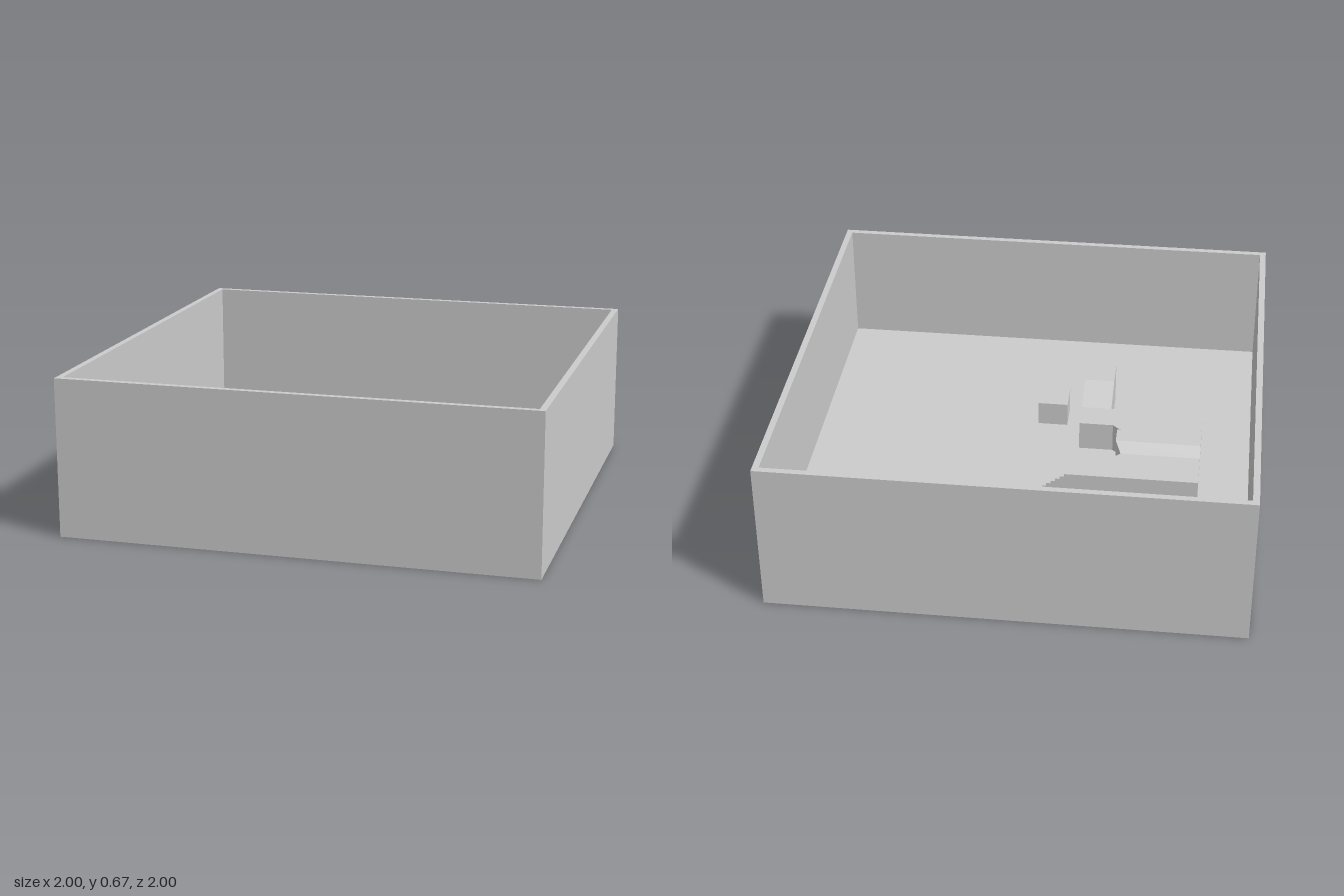
import * as THREE from 'three';
import { ConvexGeometry } from 'three/addons/geometries/ConvexGeometry.js';

const FLOOR = 0.133, DECK = 0.267, TOP = 0.67, INNER = 0.973;

export function createModel() {
  const group = new THREE.Group();
  const material = new THREE.MeshStandardMaterial({ color: 0xcccccc, flatShading: true });

  const add = (name, geometry) => {
    const mesh = new THREE.Mesh(geometry, material);
    mesh.name = name;
    group.add(mesh);
    return mesh;
  };
  const shapeOf = (points) => new THREE.Shape(points.map(([x, y]) => new THREE.Vector2(x, y)));
  const extrude = (shape, depth) => new THREE.ExtrudeGeometry(shape, { depth, bevelEnabled: false });
  // Plan outlines are drawn in (x, -z) and raised from y0 to y1
  const raisePlan = (shape, y0, y1) => extrude(shape, y1 - y0).rotateX(-Math.PI / 2).translate(0, y0, 0);
  const square = (r) => [[-r, -r], [r, -r], [r, r], [-r, r]];

  // Thick floor slab and the thin enclosing walls
  add('floor', new THREE.BoxGeometry(2, FLOOR, 2).translate(0, FLOOR / 2, 0));
  const ring = shapeOf(square(1));
  ring.holes.push(new THREE.Path(square(INNER).reverse().map(([x, y]) => new THREE.Vector2(x, y))));
  add('walls', raisePlan(ring, FLOOR, TOP));

  // Solid C-shaped platform, given as x, z
  const outline = [
    [-0.755, -0.325], [-0.2, -0.325], [-0.2, -0.192], [-0.36, -0.192], [-0.41, -0.145],
    [-0.385, -0.105], [-0.385, -0.02], [-0.41, 0.025], [-0.36, 0.07], [-0.21, 0.07],
    [-0.21, 0.2], [-0.755, 0.2],
  ];
  add('platform', raisePlan(shapeOf(outline.map(([x, z]) => [x, -z])), FLOOR, DECK));

  // Low hump with sloping sides across the platform
  const crest = DECK + 0.04;
  const hump = [];
  for (const [foot, edge] of [[-0.145, -0.105], [0.025, -0.02]]) {
    hump.push(
      new THREE.Vector3(-0.755, DECK, foot), new THREE.Vector3(-0.41, DECK, foot),
      new THREE.Vector3(-0.385, DECK, edge), new THREE.Vector3(-0.385, crest, edge),
      new THREE.Vector3(-0.755, crest, edge),
    );
  }
  add('hump', new ConvexGeometry(hump));

  // Staircase descending toward +x
  const steps = 10, run = 0.193 / steps, rise = (DECK - FLOOR) / steps;
  const profile = [[-0.2, FLOOR], [-0.2 + steps * run, FLOOR]];
  for (let i = steps; i > 0; i--) {
    const y = DECK - (i - 1) * rise;
    profile.push([-0.2 + i * run, y], [-0.2 + (i - 1) * run, y]);
  }
  add('stairs', extrude(shapeOf(profile), 0.133).translate(0, 0, -0.325));

  // Ramp rising toward the front, ending in a flat top; profile in (z, y)
  const ramp = shapeOf([[0.2, FLOOR], [0.48, FLOOR], [0.48, 0.32], [0.347, 0.32], [0.2, DECK]]);
  add('ramp', extrude(ramp, 0.133).rotateY(-Math.PI / 2).translate(-0.21, 0, 0));

  // Loose block on the floor
  const blockHeight = 0.11;
  add('block', new THREE.BoxGeometry(0.133, blockHeight, 0.133).translate(-0.073, FLOOR + blockHeight / 2, 0.312));

  return group;
}
